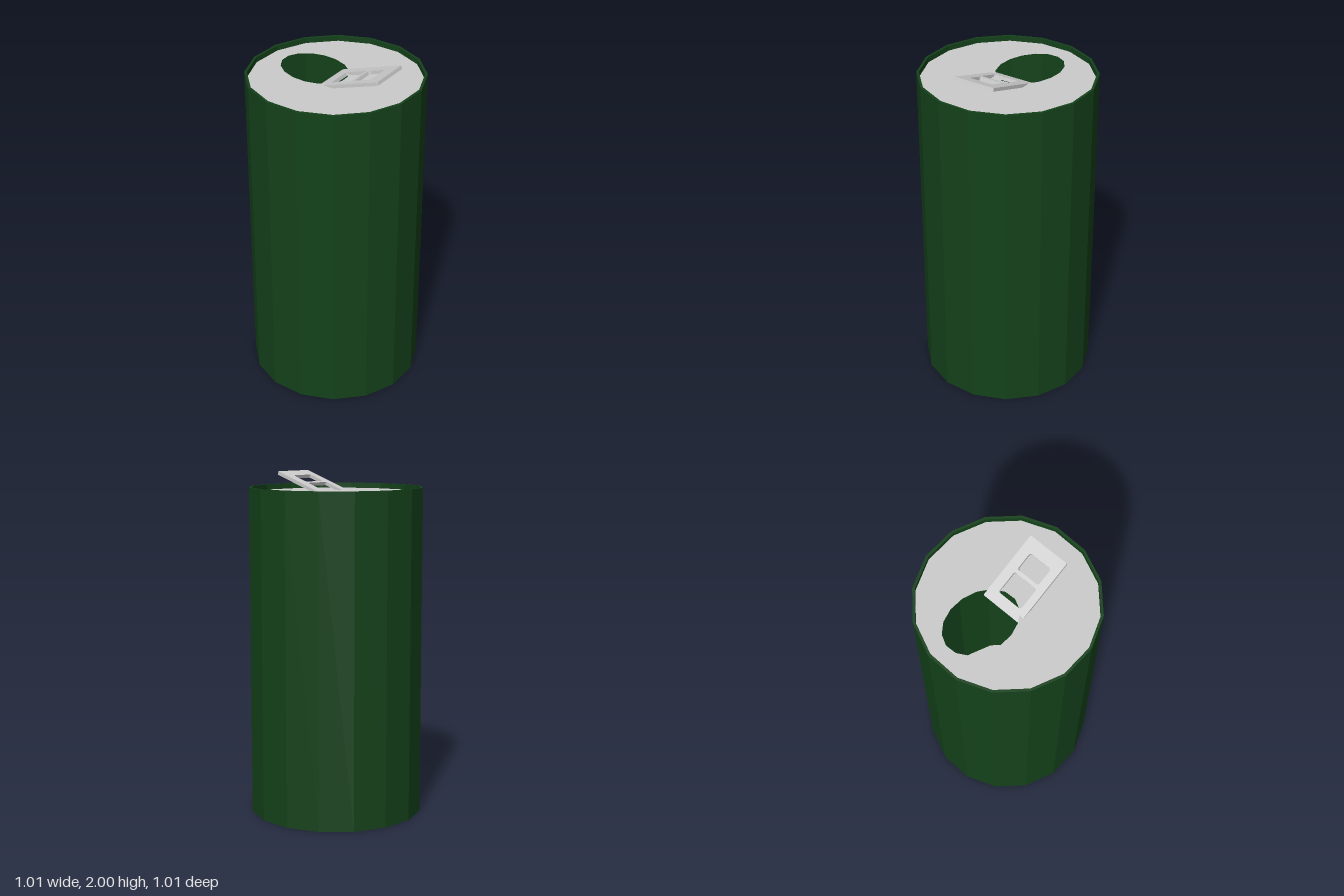
import * as THREE from 'three';

const SIDES = 16, R_OUT = 0.507, R_IN = 0.492, HEIGHT = 1.916;
const LID_Y = 1.885, BASE_Y = 0.012;

const grey = new THREE.MeshStandardMaterial({ color: 0xcccccc, flatShading: true, side: THREE.DoubleSide });
const green = new THREE.MeshStandardMaterial({ color: 0x14421a, flatShading: true });

// Points of a 16-sided ellipse
function ellipse(cx, rx, ry) {
  return Array.from({ length: SIDES }, (_, i) => {
    const a = (i / SIDES) * Math.PI * 2;
    return new THREE.Vector2(cx + rx * Math.cos(a), ry * Math.sin(a));
  });
}

// Rectangle with small rounded corners, as a Shape or a Path
function roundedRect(target, x0, x1, y0, y1, r) {
  target.moveTo(x0 + r, y0);
  target.lineTo(x1 - r, y0).quadraticCurveTo(x1, y0, x1, y0 + r);
  target.lineTo(x1, y1 - r).quadraticCurveTo(x1, y1, x1 - r, y1);
  target.lineTo(x0 + r, y1).quadraticCurveTo(x0, y1, x0, y1 - r);
  target.lineTo(x0, y0 + r).quadraticCurveTo(x0, y0, x0 + r, y0);
  return target;
}

function addPart(group, name, geometry, material) {
  const mesh = new THREE.Mesh(geometry, material);
  mesh.name = name;
  group.add(mesh);
  return mesh;
}

export function createModel() {
  const can = new THREE.Group();
  can.name = 'drinkCan';

  // Thin-walled body with rims standing proud of the lid and base
  const wall = [[R_IN, 0], [R_OUT, 0], [R_OUT, HEIGHT], [R_IN, HEIGHT], [R_IN, 0]]
    .map(([r, y]) => new THREE.Vector2(r, y));
  addPart(can, 'body', new THREE.LatheGeometry(wall, SIDES), green);

  // Recessed base
  const base = new THREE.ShapeGeometry(new THREE.Shape(ellipse(0, R_IN, R_IN)));
  addPart(can, 'base', base.rotateX(Math.PI / 2), grey).position.y = BASE_Y;

  // Recessed lid with the drinking hole
  const lidShape = new THREE.Shape(ellipse(0, R_IN, R_IN));
  lidShape.holes.push(new THREE.Path(ellipse(-0.173, 0.222, 0.165)));
  const lid = new THREE.ShapeGeometry(lidShape);
  addPart(can, 'lid', lid.rotateX(-Math.PI / 2), grey).position.y = LID_Y;

  // Pull tab with two openings, tilted up and turned, its tip dipping into the hole
  const thickness = 0.02;
  const tabShape = roundedRect(new THREE.Shape(), -0.2, 0.2, -0.126, 0.123, 0.006);
  tabShape.holes.push(
    roundedRect(new THREE.Path(), -0.137, -0.003, -0.085, 0.068, 0.012),
    roundedRect(new THREE.Path(), 0.018, 0.125, -0.078, 0.065, 0.014)
  );
  const tab = new THREE.ExtrudeGeometry(tabShape, { depth: thickness, bevelEnabled: false, curveSegments: 3 });
  tab.rotateX(-Math.PI / 2).translate(0, -thickness, 0);
  tab.rotateZ(THREE.MathUtils.degToRad(18.3)).rotateY(THREE.MathUtils.degToRad(12.9));
  addPart(can, 'pullTab', tab, grey).position.set(0.143, 1.937, -0.044);

  return can;
}
